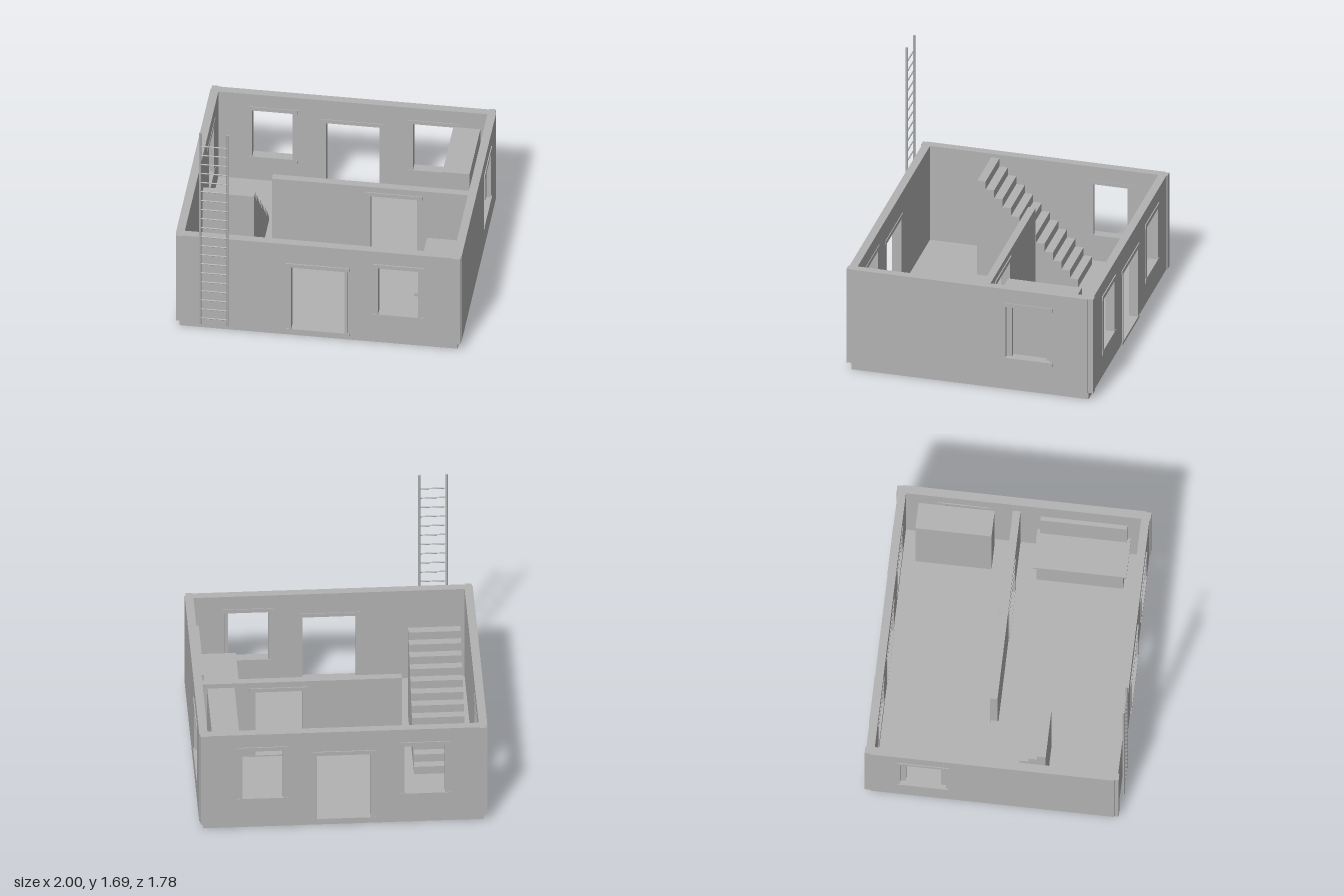
import * as THREE from 'three';

export function createModel() {
  const model = new THREE.Group();
  model.name = 'rooflessHouse';
  const grey = new THREE.MeshStandardMaterial({ color: 0xb2b2b2 });
  grey.name = 'plaster grey';

  // Box given by its two opposite corners
  function box(parent, name, x0, x1, y0, y1, z0, z1) {
    const mesh = new THREE.Mesh(new THREE.BoxGeometry(x1 - x0, y1 - y0, z1 - z0), grey);
    mesh.name = name;
    mesh.position.set((x0 + x1) / 2, (y0 + y1) / 2, (z0 + z1) / 2);
    parent.add(mesh);
    return mesh;
  }

  function rect(Type, x0, x1, y0, y1) {
    const r = new Type();
    r.moveTo(x0, y0);
    r.lineTo(x1, y0);
    r.lineTo(x1, y1);
    r.lineTo(x0, y1);
    r.closePath();
    return r;
  }

  // Wall slab with rectangular openings [x0, x1, y0, y1], running z 0..depth
  function wall(name, x0, x1, y0, y1, depth, openings) {
    const group = new THREE.Group();
    group.name = name;
    const shape = rect(THREE.Shape, x0, x1, y0, y1);
    openings.forEach((o) => shape.holes.push(rect(THREE.Path, ...o)));
    const slab = new THREE.Mesh(new THREE.ExtrudeGeometry(shape, { depth, bevelEnabled: false }), grey);
    slab.name = name + 'Slab';
    group.add(slab);
    model.add(group);
    return group;
  }

  // Lintel, sill and jambs around an opening
  function frame(parent, name, [x0, x1, y0, y1], reach, z0, z1, sillDrop, jamb) {
    const g = new THREE.Group();
    g.name = name;
    box(g, 'lintel', x0 - reach, x1 + reach, y1, y1 + 0.03, z0, z1);
    box(g, 'sill', x0 - reach, x1 + reach, y0 - sillDrop, y0, z0, z1);
    for (const [a, b] of [[x0 - jamb.out, x0 + jamb.in], [x1 - jamb.in, x1 + jamb.out]]) {
      box(g, 'jamb', a, b, y0, y1, jamb.z0, jamb.z1);
    }
    parent.add(g);
  }

  // Foundation and floor
  box(model, 'foundation', -0.968, 0.965, 0, 0.06, -0.855, 0.835);

  // Front and back walls
  const door = [-0.187, 0.183, 0.07, 0.595];
  const window1 = [0.417, 0.695, 0.257, 0.65];
  const window2 = [-0.70, -0.42, 0.257, 0.65];
  const bottom = 0.06, top = 0.785;
  const depth = 0.057;
  const faces = [
    { name: 'frontWall', z: 0.8, out0: -0.005, out1: 0.066, windows: [window1] },
    { name: 'backWall', z: -0.885, out0: -0.007, out1: 0.062, windows: [window1, window2] },
  ];
  for (const f of faces) {
    // the doorway reaches the floor; its threshold is added with the frame
    const hole = [door[0], door[1], 0.0601, door[3]];
    const g = wall(f.name, -0.985, 0.985, bottom, top, depth, [hole, ...f.windows]);
    g.position.z = f.z;
    const jamb = { out: 0.022, in: 0, z0: f.out0 + 0.002, z1: f.out1 - 0.002 };
    frame(g, 'doorFrame', door, 0.036, f.out0, f.out1, 0.02, jamb);
    f.windows.forEach((w) => frame(g, 'windowFrame', w, 0.037, f.out0, f.out1, 0.03, jamb));
  }

  // Side walls, turned so that their length runs along z
  const sides = [
    { name: 'leftSideWall', x: 0.991, z: -0.43, d0: -0.007, d1: 0.064, j0: 0.03, j1: 0.061 },
    { name: 'rightSideWall', x: -0.935, z: -0.488, d0: -0.003, d1: 0.064, j0: 0, j1: 0.03 },
  ];
  for (const s of sides) {
    const opening = [s.z - 0.16, s.z + 0.16, 0.257, 0.65];
    const g = wall(s.name, -0.855, 0.835, bottom, top, 0.058, [opening]);
    g.rotation.y = -Math.PI / 2;
    g.position.x = s.x;
    frame(g, 'sideWindowFrame', opening, 0.018, s.d0, s.d1, 0.027,
      { out: 0, in: 0.038, z0: s.j0, z1: s.j1 });
  }

  // Corner posts
  for (const [x0, x1] of [[-0.987, -0.94], [0.935, 0.985]]) {
    box(model, 'frontCornerPost', x0, x1, bottom, top, 0.8, 0.865);
    box(model, 'backCornerPost', x0, x1, bottom, top, -0.893, -0.83);
  }

  // Interior partition with a framed doorway
  const inner = [0.235, 0.56, 0.07, 0.595];
  const partition = wall('partition', -0.45, 0.935, bottom, 0.67, 0.053,
    [[inner[0], inner[1], 0.0601, inner[3]]]);
  partition.position.z = -0.088;
  frame(partition, 'innerDoorFrame', inner, 0.038, -0.007, 0.06, 0.012,
    { out: 0.022, in: 0, z0: -0.005, z1: 0.058 });

  // Solid staircase climbing towards the front
  const steps = 12;
  const profile = new THREE.Shape();
  profile.moveTo(-0.372, bottom);
  for (let i = 0; i < steps; i++) {
    const y = bottom + ((i + 1) * (0.788 - bottom)) / steps;
    profile.lineTo(-0.372 + i * 0.06, y);
    profile.lineTo(-0.372 + (i + 1) * 0.06, y);
  }
  profile.lineTo(-0.372 + steps * 0.06, bottom);
  profile.closePath();
  const stairs = new THREE.Mesh(new THREE.ExtrudeGeometry(profile, { depth: 0.36, bevelEnabled: false }), grey);
  stairs.name = 'stairs';
  stairs.rotation.y = -Math.PI / 2;
  stairs.position.x = -0.518;
  model.add(stairs);

  // Counter with overhanging top and back panel
  box(model, 'counterBody', 0.672, 0.932, bottom, 0.34, 0.105, 0.705);
  box(model, 'counterTop', 0.645, 0.932, 0.34, 0.365, 0.083, 0.73);
  box(model, 'counterBackPanel', 0.902, 0.932, 0.365, 0.62, 0.105, 0.705);

  // Tall cabinet
  box(model, 'cabinet', 0.71, 0.898, bottom, 0.72, -0.737, -0.21);

  // Ladder leaning flat against the front
  const ladder = new THREE.Group();
  ladder.name = 'ladder';
  const railShape = new THREE.CylinderGeometry(0.008, 0.008, 1.63, 12);
  for (const x of [-0.817, -0.628]) {
    const rail = new THREE.Mesh(railShape, grey);
    rail.name = 'ladderRail';
    rail.position.set(x, 0.06 + 0.815, 0.88);
    ladder.add(rail);
  }
  const rungShape = new THREE.CylinderGeometry(0.005, 0.005, 0.189, 10);
  for (let i = 0; i < 20; i++) {
    const rung = new THREE.Mesh(rungShape, grey);
    rung.name = 'ladderRung';
    rung.rotation.z = Math.PI / 2;
    rung.position.set(-0.7225, 0.112 + i * 0.0771, 0.88);
    ladder.add(rung);
  }
  model.add(ladder);

  return model;
}
